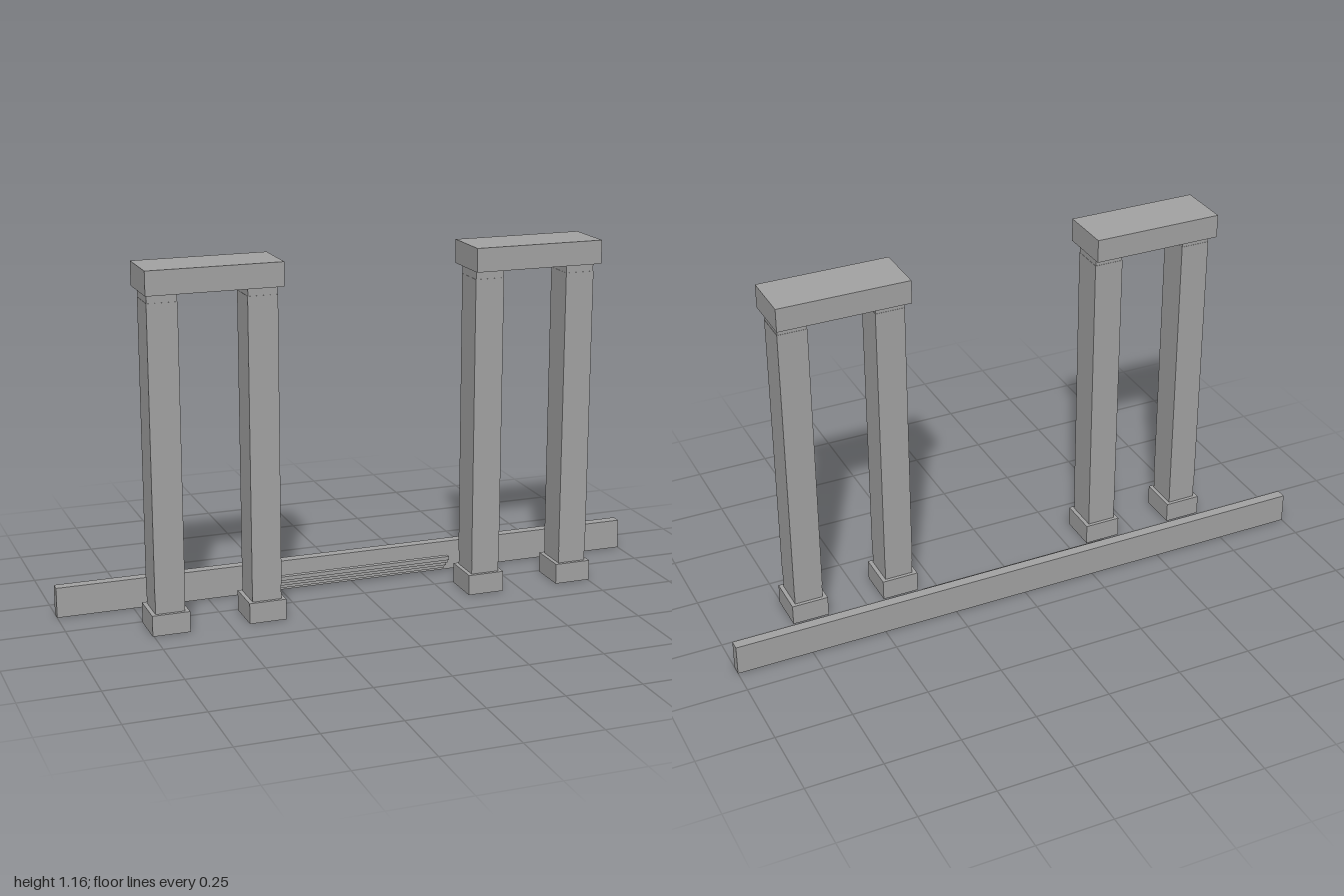
import * as THREE from 'three';

export function createModel() {
  const model = new THREE.Group();
  model.name = 'gateway';
  const stone = new THREE.MeshStandardMaterial({ name: 'stone grey', color: 0xa3a3a3 });

  // box given by its extents on each axis
  function block(name, [x0, x1], [y0, y1], [z0, z1], parent) {
    const mesh = new THREE.Mesh(new THREE.BoxGeometry(x1 - x0, y1 - y0, z1 - z0), stone);
    mesh.position.set((x0 + x1) / 2, (y0 + y1) / 2, (z0 + z1) / 2);
    mesh.name = name;
    parent.add(mesh);
  }
  const around = (c, w) => [c - w / 2, c + w / 2];

  // two mirrored gates: a pair of pillars under one lintel
  for (const side of [-1, 1]) {
    const gate = new THREE.Group();
    gate.name = side < 0 ? 'rightGate' : 'leftGate';
    for (const cx of [0.377, 0.693]) {
      const x = side * cx;
      block('pillarBase', around(x, 0.122), [0, 0.068], [0.006, 0.138], gate);
      block('pillar', around(x, 0.095), [0.068, 1.084], [0.0175, 0.127], gate);
      // shaft stands very slightly proud of the pillar ends
      block('pillarShaft', around(x, 0.097), [0.115, 1.055], [0.0165, 0.128], gate);
    }
    block('lintel', around(side * 0.535, 0.434), [1.084, 1.161], [-0.017, 0.161], gate);
    model.add(gate);
  }

  // long low wall behind the gates
  block('wall', [-1, 1], [0, 0.1], [-0.161, -0.127], model);

  // four overlapping step slats in front of the wall
  for (let i = 0; i < 4; i++) {
    const y = 0.009 + i * 0.0135;
    const z = -0.118 + i * 0.0137;
    block('step', [-0.334, 0.334], [y, y + 0.013], [z - 0.018, z], model);
  }
  return model;
}
